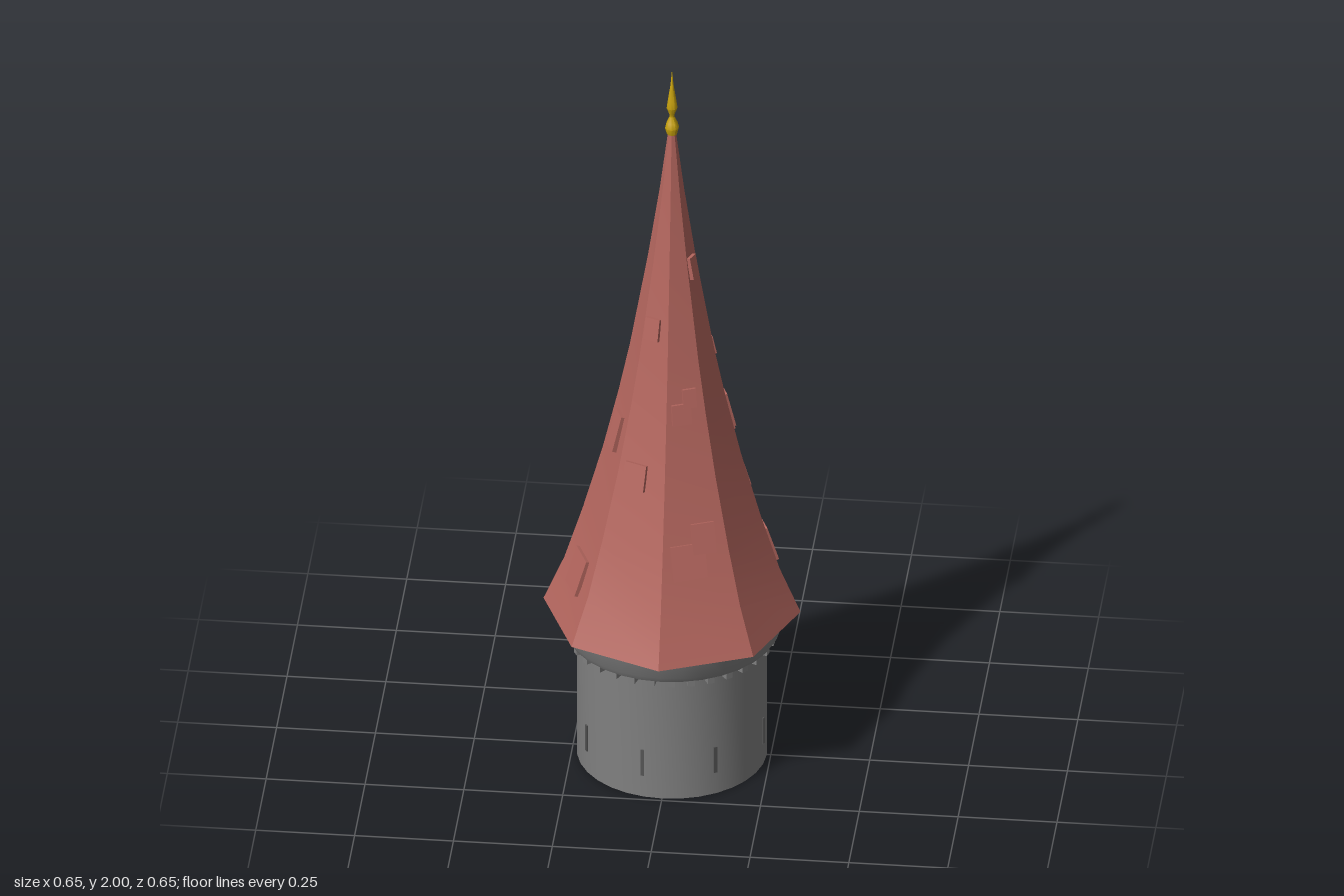
import * as THREE from 'three';
import { toCreasedNormals } from 'three/addons/utils/BufferGeometryUtils.js';

// Roof profile: [radius at the ridges, height]
const PROFILE = [[0.325, 0.425], [0.272, 0.55], [0.225, 0.7], [0.175, 0.88], [0.135, 1.05],
  [0.106, 1.19], [0.061, 1.45], [0.031, 1.65], [0.007, 1.84]];
const APOTHEM = Math.cos(Math.PI / 8);

// Raised tiles: [roof face, sideways offset, height, tile width, tile length]
const TILES = [
  [0, -0.021, 0.68, 0.09, 0.09], [0, 0.022, 0.735, 0.06, 0.08],
  [0, -0.013, 1.06, 0.05, 0.055], [0, 0.01, 1.1, 0.035, 0.05],
  [1, -0.005, 1.44, 0.03, 0.06],
  [2, -0.018, 0.595, 0.085, 0.1], [2, 0.02, 0.56, 0.06, 0.08], [2, 0.026, 0.775, 0.06, 0.065],
  [2, -0.006, 0.99, 0.05, 0.1], [2, 0.01, 0.95, 0.045, 0.06], [2, 0.014, 1.17, 0.035, 0.05],
  [4, -0.008, 0.56, 0.09, 0.1], [4, 0.036, 0.59, 0.06, 0.08], [4, 0, 0.94, 0.055, 0.08],
  [4, 0.024, 0.92, 0.04, 0.06], [4, 0.003, 1.5, 0.022, 0.05],
  [5, -0.01, 0.81, 0.06, 0.08], [5, -0.006, 1.14, 0.035, 0.06],
  [6, 0.007, 0.57, 0.085, 0.1], [6, 0.002, 0.965, 0.05, 0.1],
  [7, -0.016, 0.885, 0.06, 0.07], [7, -0.008, 1.28, 0.04, 0.06],
];

const lathe = (points, sides, crease) => toCreasedNormals(
  new THREE.LatheGeometry(points.map(([r, y]) => new THREE.Vector2(r, y)), sides), crease);

// Radius and slope of the roof at a height
function roofAt(y) {
  let i = 0;
  while (i < PROFILE.length - 2 && y > PROFILE[i + 1][1]) i++;
  const [r0, y0] = PROFILE[i], [r1, y1] = PROFILE[i + 1];
  const slope = (r1 - r0) / (y1 - y0);
  return { radius: r0 + slope * (y - y0), slope };
}

export function createModel() {
  const model = new THREE.Group();
  model.name = 'towerWithSpire';
  const stone = new THREE.MeshStandardMaterial({ name: 'stone grey', color: 0x808080, side: THREE.DoubleSide });
  const slitGrey = new THREE.MeshStandardMaterial({ name: 'slit grey', color: 0x555555 });
  const red = new THREE.MeshStandardMaterial({ name: 'roof red', color: 0xb4665e, side: THREE.DoubleSide });
  const gold = new THREE.MeshStandardMaterial({ name: 'finial gold', color: 0xc8a20c });

  const add = (name, geometry, material, parent = model) => {
    const mesh = new THREE.Mesh(geometry, material);
    mesh.name = name;
    parent.add(mesh);
    return mesh;
  };
  // Pivot turned about the tower axis, so parts can be set along its +z
  const spoke = (name, angle) => {
    const pivot = new THREE.Group();
    pivot.name = name;
    pivot.rotation.y = angle;
    model.add(pivot);
    return pivot;
  };

  // Hollow tower wall and overhanging cornice
  add('towerWall', lathe([[0.24, 0], [0.24, 0.36]], 32, 0.6), stone);
  add('cornice', lathe([[0.24, 0.36], [0.268, 0.36], [0.276, 0.375], [0.288, 0.425]], 32, 0.6), stone);

  // Corbels under the cornice
  for (let i = 0; i < 32; i++) {
    const pivot = spoke('corbel', (i + 0.5) * Math.PI / 16);
    add('corbelBlock', new THREE.BoxGeometry(0.018, 0.02, 0.025), stone, pivot).position.set(0, 0.351, 0.25);
  }

  // Arrow slits, set through the wall
  for (let i = 0; i < 8; i++) {
    const pivot = spoke('arrowSlit', THREE.MathUtils.degToRad(-12 + 45 * i));
    add('slitPlate', new THREE.BoxGeometry(0.009, 0.075, 0.008), slitGrey, pivot).position.set(0, 0.1, 0.239);
  }

  // Eight-sided flared roof with its underside
  add('roof', lathe(PROFILE, 8, 0.45), red);
  add('roofUnderside', lathe([[0.26, 0.425], [0.325, 0.425]], 8, 0.45), red);

  // Raised roof tiles, each lying along its face
  for (const [face, offset, y, width, length] of TILES) {
    const { radius, slope } = roofAt(y);
    const pivot = spoke('roofTile', (face + 0.5) * Math.PI / 4);
    const tile = add('tileSlab', new THREE.BoxGeometry(width, length, 0.016), red, pivot);
    tile.position.set(offset, y, radius * APOTHEM + 0.002);
    tile.rotation.x = Math.atan(slope * APOTHEM) - 0.03;
  }

  // Gold finial
  add('finial', lathe([[0, 1.81], [0.013, 1.812], [0.018, 1.83], [0.014, 1.845], [0.006, 1.862], [0.007, 1.87],
    [0.014, 1.888], [0.011, 1.91], [0.004, 1.955], [0, 2]], 10, 0.7), gold);
  return model;
}
